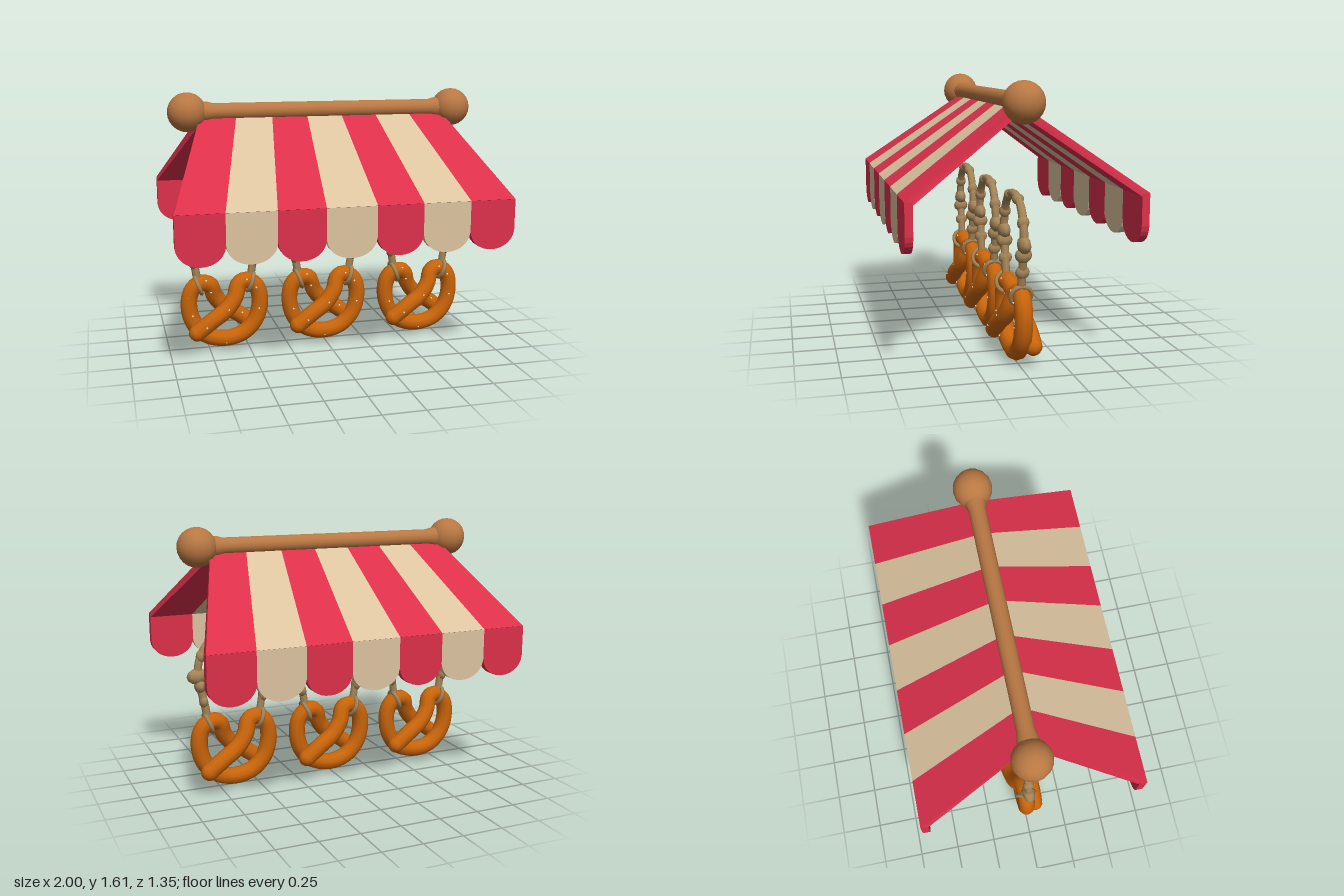
import * as THREE from 'three';

const mat = (name, color, side = THREE.FrontSide) => {
  const m = new THREE.MeshStandardMaterial({ color, side });
  m.name = name;
  return m;
};

export function createModel() {
  const red = mat('red cloth', 0xdc304a);
  const cream = mat('cream cloth', 0xdcc3a0);
  const wood = mat('wood', 0xb97843);
  const dough = mat('baked dough', 0xc8640a);
  const rope = mat('rope', 0xa58558);
  const salt = mat('salt', 0xf2ece0);

  const model = new THREE.Group();
  model.name = 'pretzelStallAwning';

  const add = (parent, name, geometry, material, x = 0, y = 0, z = 0) => {
    const mesh = new THREE.Mesh(geometry, material);
    mesh.name = name;
    mesh.position.set(x, y, z);
    parent.add(mesh);
    return mesh;
  };

  // Ridge pole with flared ends and round knobs
  const pole = new THREE.Group();
  pole.name = 'ridgePole';
  pole.position.y = 1.497;
  model.add(pole);
  const profile = [[0.063, -0.8], [0.063, -0.73], [0.052, -0.69], [0.052, 0.69], [0.063, 0.73], [0.063, 0.8]];
  const shaft = new THREE.LatheGeometry(profile.map(p => new THREE.Vector2(...p)), 16);
  add(pole, 'poleShaft', shaft, wood).rotation.z = Math.PI / 2;
  for (const s of [-1, 1]) add(pole, 'poleKnob', new THREE.SphereGeometry(0.119, 16, 12), wood, s * 0.846);

  // Awning: each stripe is a sloping slab plus a scalloped flap
  const eaveX = [-1, -0.72, -0.43, -0.15, 0.15, 0.43, 0.72, 1];
  const ridgeX = [-0.765, -0.545, -0.325, -0.108, 0.108, 0.325, 0.545, 0.765];

  const roofSlab = i => {
    const g = new THREE.BoxGeometry(1, 1, 1);
    const p = g.attributes.position;
    for (let k = 0; k < p.count; k++) {
      const side = p.getX(k) > 0 ? i + 1 : i;
      const ridge = p.getY(k) > 0, outer = p.getZ(k) > 0;
      if (ridge) p.setXYZ(k, ridgeX[side], outer ? 1.485 : 1.43, 0);
      else p.setXYZ(k, eaveX[side], outer ? 1.005 : 0.985, outer ? 0.675 : 0.63);
    }
    g.computeVertexNormals();
    return g;
  };

  const flap = i => {
    const a = eaveX[i], b = eaveX[i + 1];
    const shape = new THREE.Shape();
    shape.moveTo(b, 1.003);
    shape.lineTo(a, 1.003);
    shape.lineTo(a, 0.82);
    shape.bezierCurveTo(a + 0.015, 0.67, b - 0.015, 0.67, b, 0.82);
    shape.closePath();
    return new THREE.ExtrudeGeometry(shape, { depth: 0.045, bevelEnabled: false, curveSegments: 14 });
  };

  for (const [name, turn] of [['frontAwning', 0], ['backAwning', Math.PI]]) {
    const half = new THREE.Group();
    half.name = name;
    half.rotation.y = turn;
    for (let i = 0; i < 7; i++) {
      const cloth = i % 2 ? cream : red;
      add(half, 'roofStripe', roofSlab(i), cloth);
      add(half, 'scallopFlap', flap(i), cloth, 0, 0, 0.63);
    }
    model.add(half);
  }

  // Pretzel path: half the strand, the other half is turned about the y axis
  const halfPath = [
    [-0.185, 0.125, 0.068], [-0.09, 0.195, 0.066], [0.005, 0.26, 0.052], [0.062, 0.335, 0.035],
    [0.09, 0.41, 0.012], [0.145, 0.43, 0], [0.205, 0.385, 0], [0.226, 0.285, 0],
    [0.195, 0.165, 0], [0.115, 0.083, 0], [0, 0.055, 0],
  ].map(p => new THREE.Vector3(...p));
  const turned = halfPath.slice(0, -1).reverse().map(p => new THREE.Vector3(-p.x, p.y, -p.z));
  const strand = new THREE.CatmullRomCurve3([...halfPath, ...turned]);
  const strandR = 0.053;
  const strandGeo = new THREE.TubeGeometry(strand, 90, strandR, 10);
  const endGeo = new THREE.SphereGeometry(strandR, 10, 8);
  const saltGeo = new THREE.SphereGeometry(0.007, 6, 4);

  // Hanging rope: up from one side, over the top, down the other side
  const ropeSide = [[0.17, 0.46], [0.185, 0.55], [0.205, 0.64], [0.22, 0.73], [0.205, 0.83], [0.14, 0.93]];
  const ropePath = new THREE.CatmullRomCurve3([
    ...ropeSide.map(([x, y]) => new THREE.Vector3(x, y, 0)),
    new THREE.Vector3(0, 0.973, 0),
    ...ropeSide.slice().reverse().map(([x, y]) => new THREE.Vector3(-x, y, 0)),
  ]);
  const ropeGeo = new THREE.TubeGeometry(ropePath, 48, 0.025, 8);
  const lumpGeo = new THREE.SphereGeometry(1, 8, 6);
  const loopGeo = new THREE.TorusGeometry(0.06, 0.014, 6, 18);

  for (const x of [-0.645, 0, 0.645]) {
    const hanger = new THREE.Group();
    hanger.name = 'hangingPretzel';
    hanger.position.x = x;
    model.add(hanger);

    add(hanger, 'pretzelStrand', strandGeo, dough);
    for (const p of [strand.getPoint(0), strand.getPoint(1)]) add(hanger, 'pretzelEnd', endGeo, dough, p.x, p.y, p.z);

    // Salt grains along the front of the dough
    for (let i = 0; i < 15; i++) {
      const p = strand.getPoint(0.03 + i * 0.066);
      const tilt = Math.sin(i * 2.4) * 0.6;
      add(hanger, 'saltGrain', saltGeo, salt,
        p.x + Math.sin(tilt) * strandR * 0.7, p.y + Math.sin(tilt) * strandR * 0.7, p.z + Math.cos(tilt) * strandR * 0.97);
    }

    add(hanger, 'rope', ropeGeo, rope);
    for (const s of [-1, 1]) {
      // Knots and lumps in the rope, and the loop round the dough
      const lumps = [[0.222, 0.72, 0.068, 0.05, 0.04], [0.21, 0.66, 0.036, 0.045, 0.05],
        [0.19, 0.56, 0.028, 0.04, 0.042], [0.2, 0.84, 0.03, 0.04, 0.036], [0.09, 0.955, 0.045, 0.032, 0.036]];
      for (const [lx, ly, rx, ry, rz] of lumps) {
        add(hanger, 'ropeKnot', lumpGeo, rope, s * lx, ly, 0).scale.set(rx, ry, rz);
      }
      const loop = add(hanger, 'ropeLoop', loopGeo, rope, s * 0.165, 0.418, 0);
      loop.rotation.set(0, Math.PI / 2, s * -0.35, 'ZYX');
    }
  }
  return model;
}
